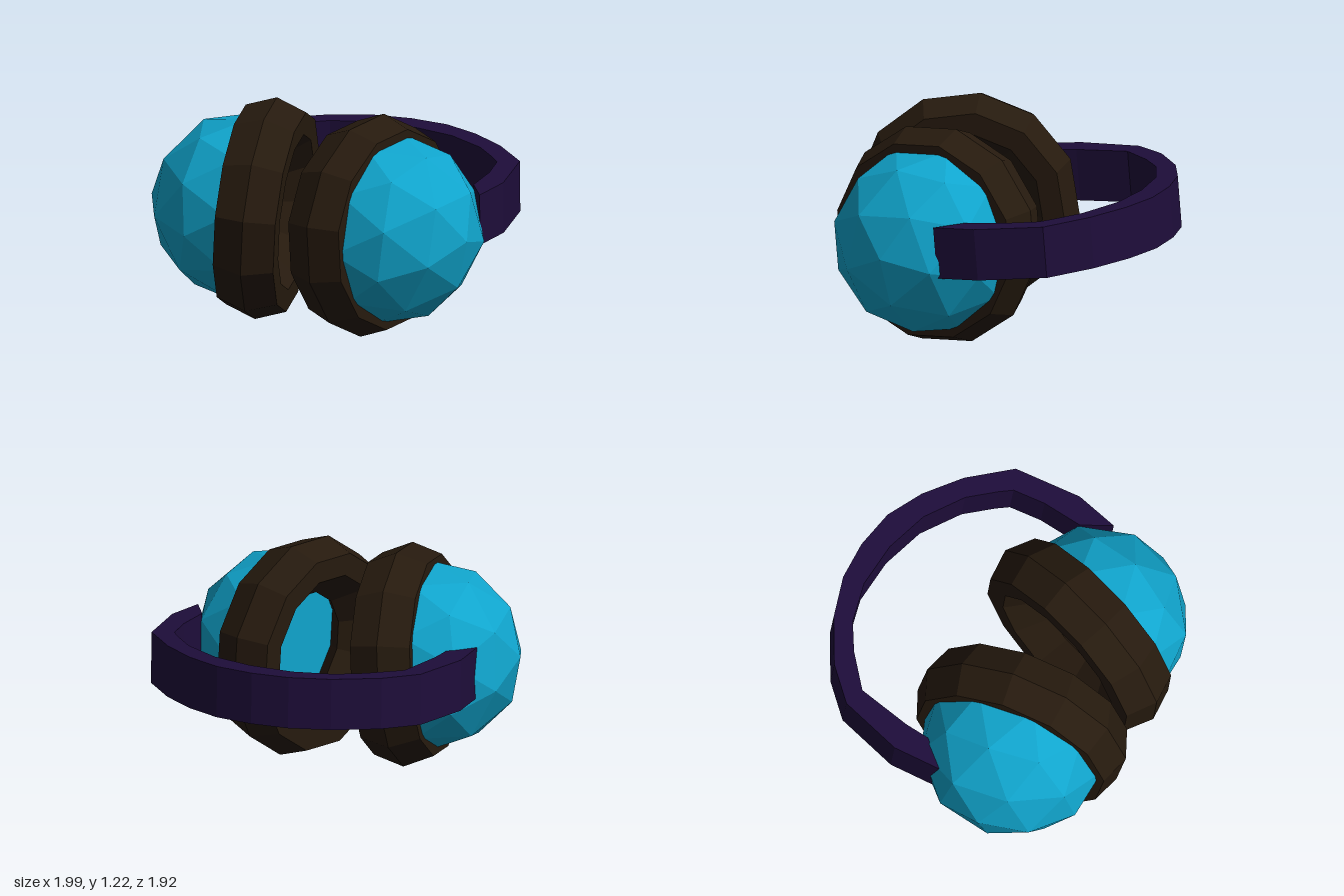
import * as THREE from 'three';

const paint = (color) => new THREE.MeshStandardMaterial({ color, flatShading: true });
const shellBlue = paint(0x10a5cd);
const padBrown = paint(0x261a0e);
const bandPurple = paint(0x1e0d3a);

function part(name, geometry, material) {
  const mesh = new THREE.Mesh(geometry, material);
  mesh.name = name;
  return mesh;
}

// Twelve-sided ring cushion with a six-sided section, axis along z
function cushionGeometry(phase) {
  const section = [
    [0.6, 0], [0.54, 0.165], [0.42, 0.165], [0.29, 0],
    [0.42, -0.165], [0.54, -0.165], [0.6, 0],
  ].map(([r, h]) => new THREE.Vector2(r, h));
  return new THREE.LatheGeometry(section, 12, phase).rotateX(Math.PI / 2);
}

// Faceted half ball with its pole on +z and a flat back
function domeGeometry(radius) {
  const geo = new THREE.IcosahedronGeometry(radius, 1);
  geo.rotateX(Math.atan(2 / (1 + Math.sqrt(5))));
  const pos = geo.attributes.position;
  for (let i = 0; i < pos.count; i++) pos.setZ(i, Math.max(0, pos.getZ(i)));
  geo.computeVertexNormals();
  return geo;
}

// Cushion and shell, with the shell facing along "outward"
function earCup(name, center, outward, up, phase) {
  const cup = new THREE.Group();
  cup.name = name;
  const dome = part('shell', domeGeometry(0.51), shellBlue);
  dome.position.z = 0.115;
  cup.add(part('cushion', cushionGeometry(phase), padBrown), dome);

  const z = new THREE.Vector3(...outward).normalize();
  const x = new THREE.Vector3(...up).cross(z).normalize();
  const y = z.clone().cross(x);
  cup.quaternion.setFromRotationMatrix(new THREE.Matrix4().makeBasis(x, y, z));
  cup.position.set(...center);
  return cup;
}

// Flat headband: plan outline (x, z) given a height, then tilted slightly
function headbandGeometry() {
  const outer = [
    [-0.69, -0.42], [-0.55, -0.67], [-0.29, -0.91], [-0.07, -0.96], [0.2, -0.945],
    [0.42, -0.88], [0.6, -0.77], [0.76, -0.62], [0.87, -0.43], [0.95, -0.2],
    [0.99, 0.08], [0.82, 0.41], [0.65, 0.58],
  ];
  const inner = [
    [0.66, 0.4], [0.79, 0.22], [0.87, 0.06], [0.865, -0.02], [0.84, -0.2],
    [0.74, -0.43], [0.58, -0.62], [0.38, -0.77], [0.17, -0.845], [0, -0.85],
    [-0.22, -0.82], [-0.42, -0.6], [-0.5, -0.49],
  ];
  const shape = new THREE.Shape([...outer, ...inner].map(([x, z]) => new THREE.Vector2(x, z)));
  const geo = new THREE.ExtrudeGeometry(shape, { depth: 0.28, bevelEnabled: false });
  geo.rotateX(Math.PI / 2).translate(0, 0.14, 0);

  const slopeX = 0.026, slopeZ = -0.072;
  const pos = geo.attributes.position;
  for (let i = 0; i < pos.count; i++) {
    const x = pos.getX(i), y = pos.getY(i), z = pos.getZ(i);
    pos.setXYZ(i, x - slopeX * y, y + 0.663 + slopeX * x + slopeZ * z, z - slopeZ * y);
  }
  geo.computeVertexNormals();
  return geo;
}

export function createModel() {
  const model = new THREE.Group();
  model.name = 'headphones';
  model.add(
    earCup('rightEarCup', [-0.39, 0.63, 0.03], [-0.899, 0.076, -0.437], [0.12, 1, -0.07], 0),
    earCup('leftEarCup', [0.11, 0.59, 0.37], [0.649, 0, 0.761], [-0.064, 0.996, 0.054], Math.PI / 12),
    part('headband', headbandGeometry(), bandPurple),
  );
  return model;
}
